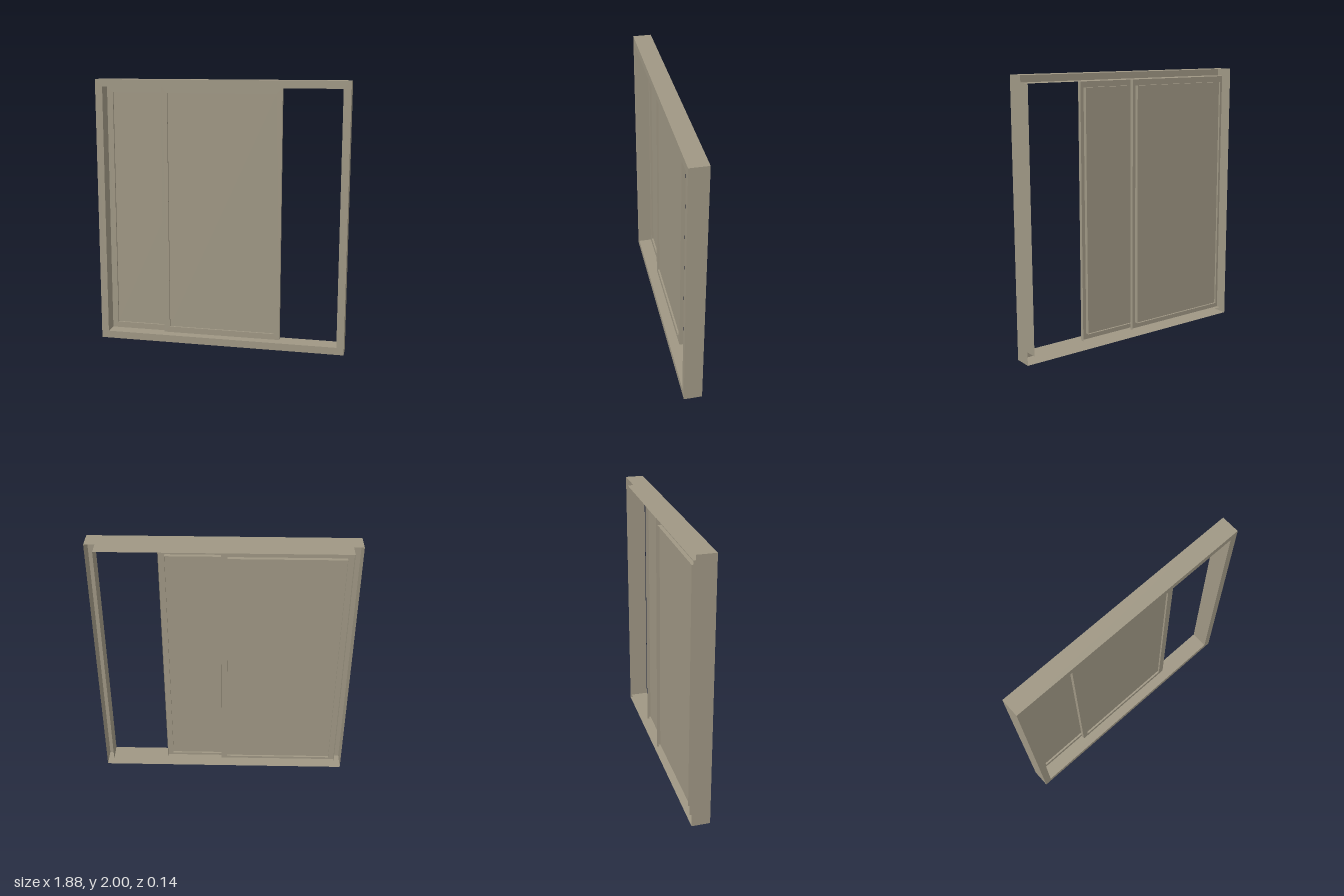
import * as THREE from 'three';

const BOTTOM = 0.055, TOP = 1.945; // clear opening height

// Rectangular ring of open-backed channel: outer wall, front face and inner wall.
function channelFrame(x0, x1, y0, y1, width, zFront, zBack) {
  const ring = (inset, z) => [
    [x0 + inset, y0 + inset, z], [x1 - inset, y0 + inset, z],
    [x1 - inset, y1 - inset, z], [x0 + inset, y1 - inset, z],
  ];
  const rings = [ring(0, zBack), ring(0, zFront), ring(width, zFront), ring(width, zBack)];
  const positions = [];
  for (let r = 0; r < 3; r++) {
    for (let i = 0; i < 4; i++) {
      const j = (i + 1) % 4;
      const a = rings[r][i], b = rings[r][j], c = rings[r + 1][j], d = rings[r + 1][i];
      positions.push(...a, ...b, ...c, ...a, ...c, ...d);
    }
  }
  const geometry = new THREE.BufferGeometry();
  geometry.setAttribute('position', new THREE.Float32BufferAttribute(positions, 3));
  geometry.computeVertexNormals();
  return geometry;
}

export function createModel() {
  const model = new THREE.Group();
  model.name = 'slidingDoor';
  const taupe = new THREE.MeshStandardMaterial({ color: 0x9f9784, side: THREE.DoubleSide });
  taupe.name = 'taupe';

  const add = (parent, name, geometry) => {
    const mesh = new THREE.Mesh(geometry, taupe);
    mesh.name = name;
    parent.add(mesh);
    return mesh;
  };

  // Outer frame
  add(model, 'outerFrame', channelFrame(-0.94, 0.94, 0, 2, 0.055, 0.068, -0.068));

  // Sliding leaf: slim channel frame around a flat panel
  const addLeaf = (name, x0, x1, zFront, zBack) => {
    const leaf = new THREE.Group();
    leaf.name = name;
    const rail = 0.045;
    add(leaf, 'leafFrame', channelFrame(x0, x1, BOTTOM, TOP, rail, zFront, zBack));
    const panel = add(leaf, 'leafPanel',
      new THREE.PlaneGeometry(x1 - x0 - 2 * rail, TOP - BOTTOM - 2 * rail));
    panel.position.set((x0 + x1) / 2, (BOTTOM + TOP) / 2, (zFront + zBack) / 2);
    model.add(leaf);
  };
  addLeaf('frontLeaf', -0.455, 0.45, -0.006, -0.034);
  addLeaf('rearLeaf', -0.885, 0.018, -0.036, -0.064);

  return model;
}
